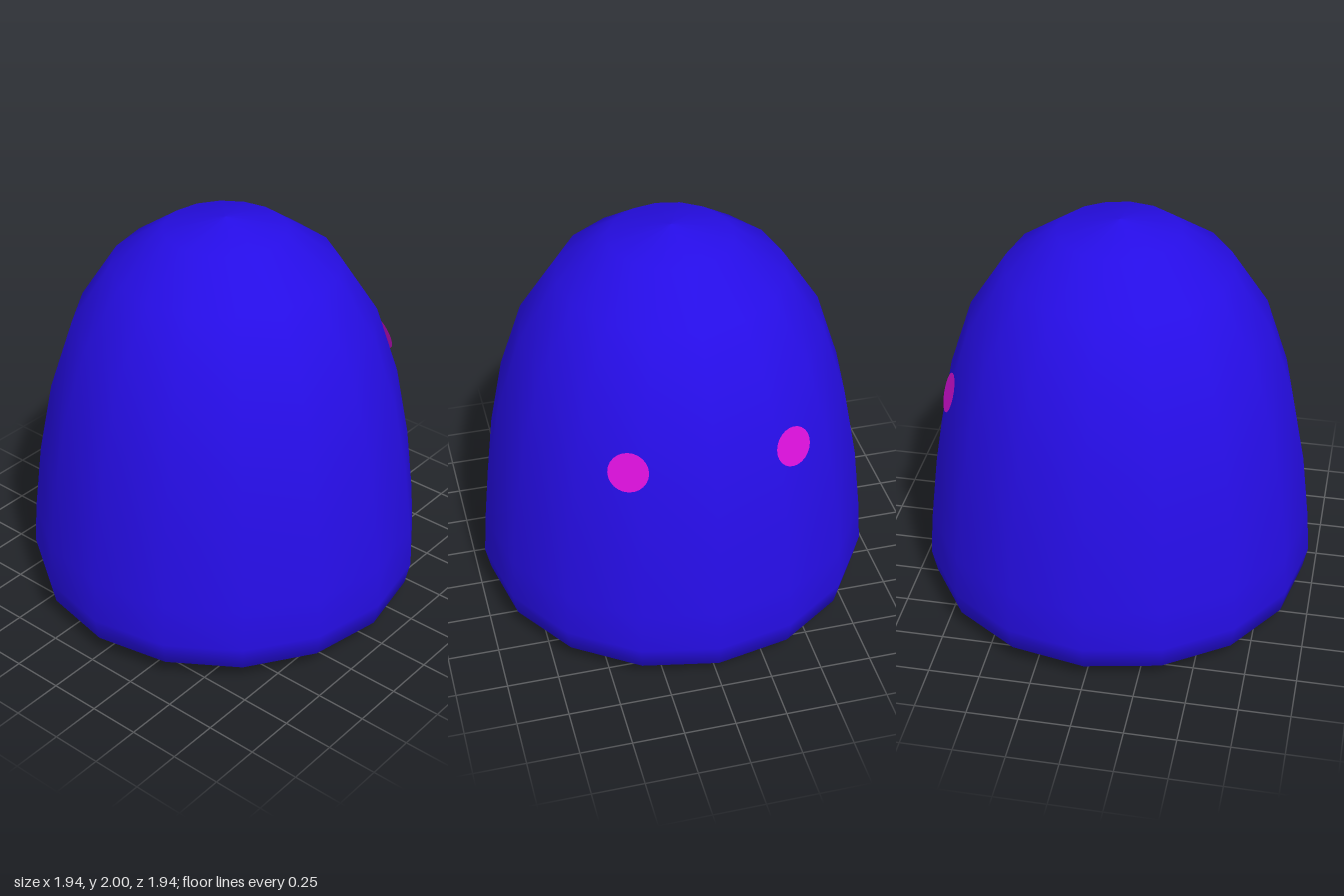
import * as THREE from 'three';

export function createModel() {
  const group = new THREE.Group();
  group.name = 'domeCreature';

  const bodyBlue = new THREE.MeshStandardMaterial({ color: 0x260de6 });
  bodyBlue.name = 'bodyBlue';
  const eyeMagenta = new THREE.MeshStandardMaterial({ color: 0xda10da, side: THREE.DoubleSide });
  eyeMagenta.name = 'eyeMagenta';

  // Sixteen-sided smooth dome with a nearly flat base
  const profile = [
    [0, 0], [0.36, 0.005], [0.65, 0.017], [0.85, 0.04], [0.945, 0.1], [0.97, 0.22], [0.955, 0.43],
    [0.915, 0.77], [0.845, 1.13], [0.73, 1.48], [0.545, 1.765], [0.295, 1.94], [0, 2],
  ].map(([r, y]) => new THREE.Vector2(r, y));
  const body = new THREE.Mesh(new THREE.LatheGeometry(profile, 16), bodyBlue);
  body.name = 'body';
  group.add(body);

  // Pair of flat round eyes on the +x side, tilted to follow the dome
  for (const side of [1, -1]) {
    const eye = new THREE.Mesh(new THREE.CircleGeometry(0.095, 24), eyeMagenta);
    eye.name = side > 0 ? 'frontEye' : 'backEye';
    const normal = new THREE.Vector3(0.88, 0.3, 0.36 * side).normalize();
    eye.position.set(0.75, 1.205, 0.387 * side);
    eye.quaternion.setFromUnitVectors(new THREE.Vector3(0, 0, 1), normal);
    group.add(eye);
  }

  return group;
}
